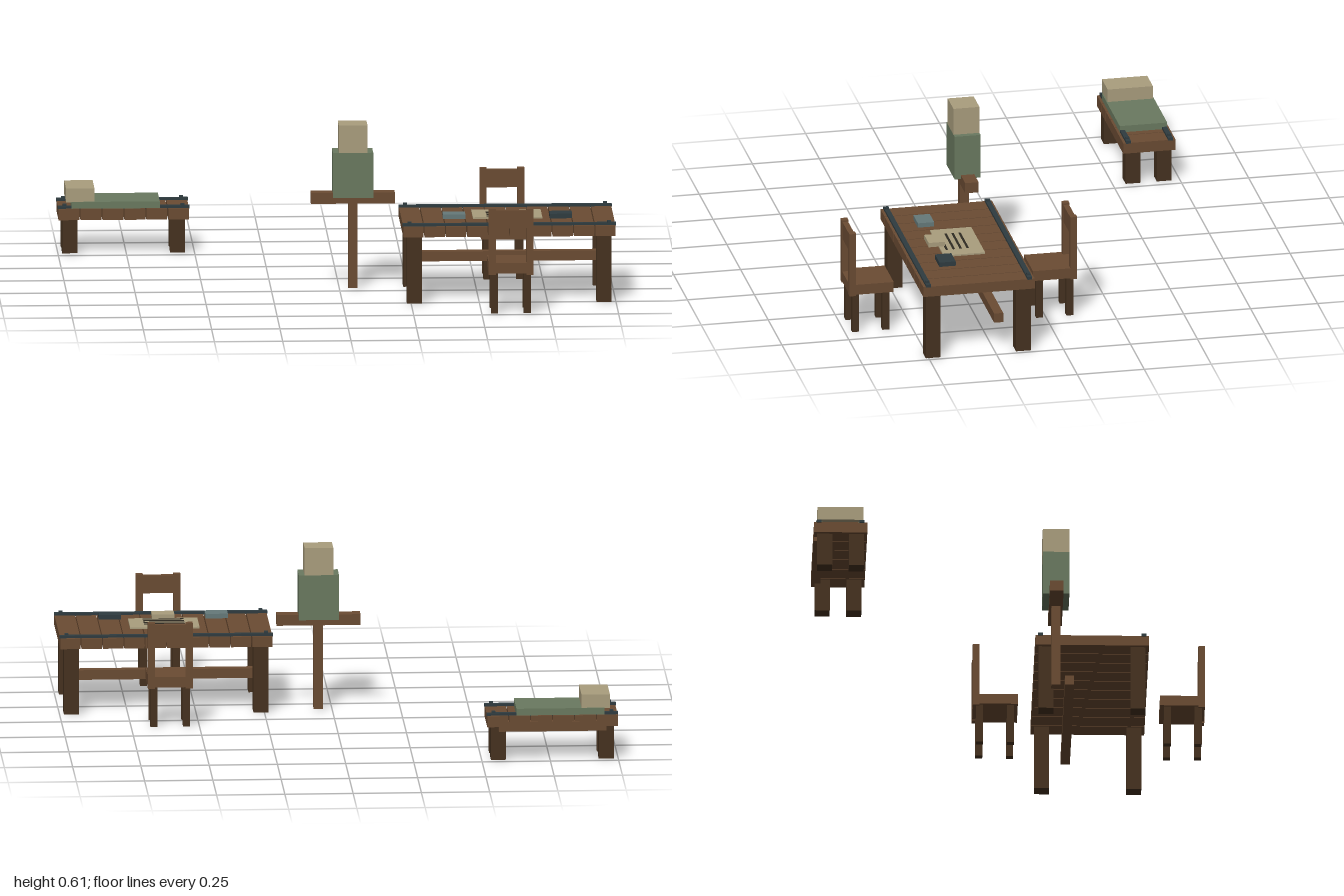
import * as THREE from 'three';

const mat = (name, color) => {
  const m = new THREE.MeshStandardMaterial({ color });
  m.name = name;
  return m;
};

export function createModel() {
  const wood = mat('wood', 0x6b4c33);
  const darkWood = mat('dark wood', 0x463220);
  const iron = mat('dark iron', 0x2f3c40);
  const slate = mat('pale slate', 0x667a7a);
  const linen = mat('linen', 0xaa9e7e);
  const cloth = mat('green cloth', 0x6a7a60);
  const ink = mat('ink', 0x2e2a22);

  const root = new THREE.Group();
  root.name = 'campFurniture';

  const group = (name, parent = root) => {
    const g = new THREE.Group();
    g.name = name;
    parent.add(g);
    return g;
  };
  // box given by its min and max along each axis
  const box = (parent, name, m, [x0, x1], [y0, y1], [z0, z1]) => {
    const mesh = new THREE.Mesh(new THREE.BoxGeometry(x1 - x0, y1 - y0, z1 - z0), m);
    mesh.position.set((x0 + x1) / 2, (y0 + y1) / 2, (z0 + z1) / 2);
    mesh.name = name;
    parent.add(mesh);
    return mesh;
  };

  // plank top on four thick legs, with iron straps, rivets and one stretcher
  const plankBench = (name, [x0, x1], [y0, y1], [z0, z1], planks) => {
    const g = group(name);
    const pitch = (x1 - x0) / planks;
    for (let i = 0; i < planks; i++) {
      const x = x0 + i * pitch;
      box(g, 'plank', wood, [x + 0.002, x + pitch - 0.002], [y0, y1], [z0, z1]);
    }
    const leg = 0.055;
    for (const lx of [x0 + 0.016, x1 - 0.016 - leg])
      for (const lz of [z0 + 0.012, z1 - 0.012 - leg])
        box(g, 'leg', darkWood, [lx, lx + leg], [0, y0], [lz, lz + leg]);
    for (const sz of [z0 + 0.019, z1 - 0.019]) {
      box(g, 'strap', iron, [x0, x1], [y1 - 0.002, y1 + 0.009], [sz - 0.009, sz + 0.009]);
      for (const rx of [x0 + 0.025, x1 - 0.025])
        box(g, 'rivet', iron, [rx - 0.007, rx + 0.007], [y1, y1 + 0.016], [sz - 0.007, sz + 0.007]);
    }
    const c = (z0 + z1) / 2 - 0.082;
    box(g, 'stretcher', wood, [x0 + 0.044, x1 - 0.044], [0.108, 0.144], [c - 0.017, c + 0.017]);
    return g;
  };

  // Table
  const table = plankBench('table', [0.219, 1.0], [0.248, 0.287], [0.107, 0.523], 10);
  box(table, 'parchment', linen, [0.481, 0.735], [0.291, 0.297], [0.238, 0.392]);
  for (let i = 0; i < 4; i++) {
    const z = 0.292 + i * 0.026;
    box(table, 'writtenLine', ink, [0.532, 0.682], [0.296, 0.299], [z - 0.004, z + 0.004]);
  }
  const blocks = [['paleBlock', slate, 0.411], ['linenBlock', linen, 0.607], ['darkBlock', iron, 0.802]];
  for (const [name, m, x] of blocks)
    box(table, name, m, [x - 0.041, x + 0.041], [0.298, 0.315], [0.37, 0.431]);

  // Chairs face each other across the table; side = direction of the backrest
  const chair = (name, z, side) => {
    const g = group(name);
    g.position.set(0.607, 0, z);
    if (side < 0) g.rotation.y = Math.PI;
    box(g, 'seat', wood, [-0.082, 0.082], [0.15, 0.189], [-0.082, 0.082]);
    for (const s of [-1, 1]) {
      for (const lz of [-0.055, 0.058])
        box(g, 'leg', darkWood, [s * 0.06 - 0.013, s * 0.06 + 0.013], [0, 0.15], [lz - 0.013, lz + 0.013]);
      box(g, 'backPost', wood, [s * 0.069 - 0.013, s * 0.069 + 0.013], [0.145, 0.39], [0.058, 0.083]);
    }
    box(g, 'topRail', wood, [-0.07, 0.07], [0.318, 0.384], [0.06, 0.081]);
  };
  chair('frontChair', 0.652, 1);
  chair('backChair', -0.032, -1);

  // Training dummy on a post
  const dummy = group('dummy');
  box(dummy, 'post', wood, [0.033, 0.067], [0, 0.345], [0.161, 0.195]);
  box(dummy, 'crossbar', wood, [-0.104, 0.203], [0.316, 0.356], [0.153, 0.203]);
  box(dummy, 'body', cloth, [-0.024, 0.123], [0.341, 0.509], [0.129, 0.226]);
  box(dummy, 'head', linen, [-0.003, 0.102], [0.509, 0.611], [0.129, 0.226]);

  // Low bed
  const bed = plankBench('bed', [-1.0, -0.518], [0.125, 0.166], [-0.731, -0.536], 6);
  box(bed, 'blanket', cloth, [-0.95, -0.627], [0.166, 0.191], [-0.722, -0.545]);
  box(bed, 'pillow', linen, [-0.97, -0.866], [0.189, 0.24], [-0.718, -0.549]);

  return root;
}
